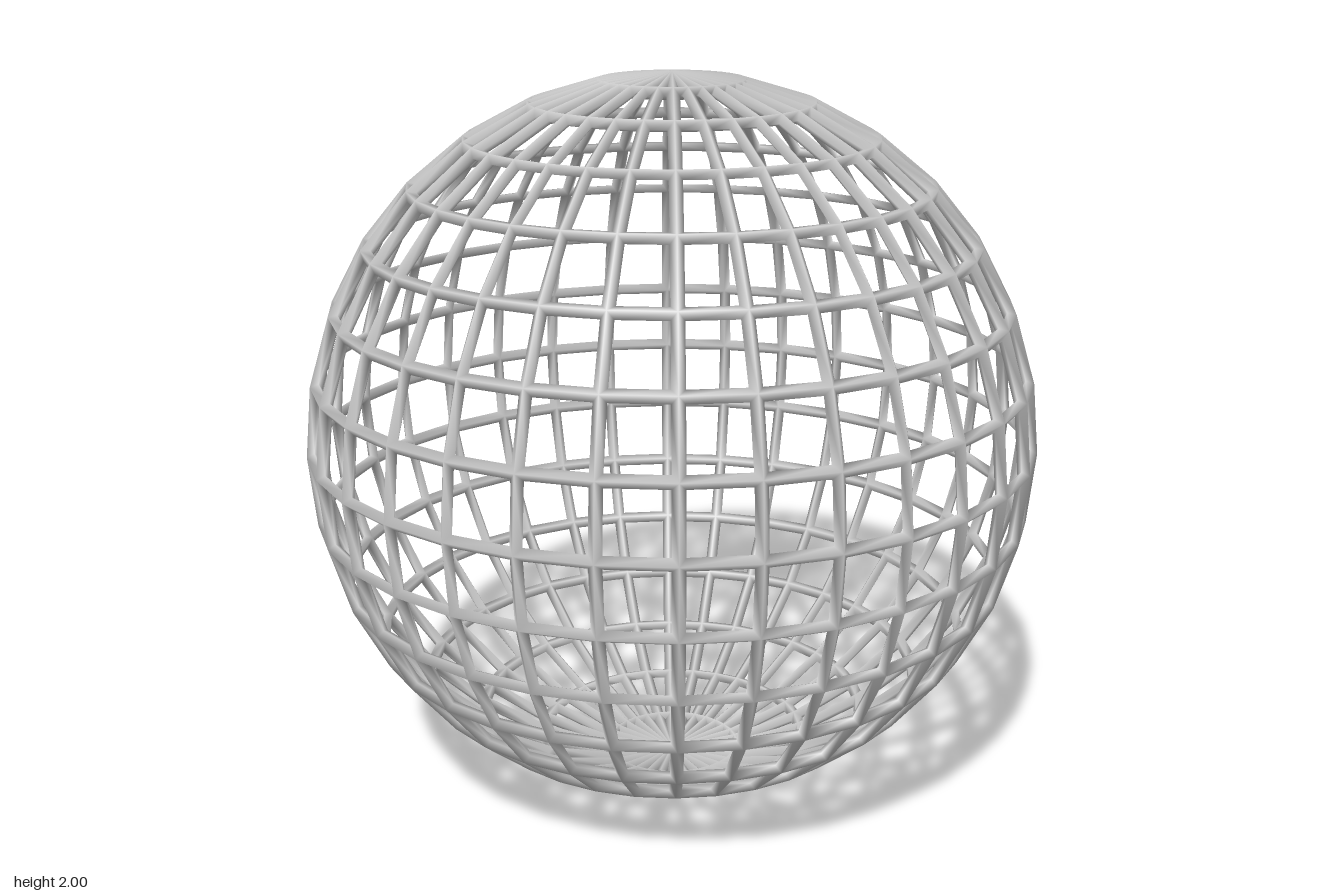
import * as THREE from 'three';

const SEGMENTS = 32, RINGS = 16;
const H = 0.017;      // half thickness of a bar
const R = 1 - H;      // radius of the bar centre lines

// Point on the sphere grid; ring 0 is the top pole
function gridPoint(ring, seg, radius) {
  return new THREE.Vector3().setFromSphericalCoords(
    radius, Math.PI * ring / RINGS, 2 * Math.PI * seg / SEGMENTS);
}

// Bars of diamond section along every edge of a latitude/longitude sphere
function latticeGeometry() {
  const positions = [], index = [];
  const add = p => positions.push(p.x, p.y, p.z) / 3 - 1;

  // Outer and inner ridge vertices, one pair per grid point
  const ridge = new Map();
  function ridgePair(ring, seg) {
    const s = ring === 0 || ring === RINGS ? 0 : seg % SEGMENTS;
    const key = ring * SEGMENTS + s;
    if (!ridge.has(key)) {
      ridge.set(key, {
        outer: add(gridPoint(ring, s, R + H)),
        inner: add(gridPoint(ring, s, R - H)),
      });
    }
    return ridge.get(key);
  }

  // Frame one opening: inset its corners and join them to the ridges
  function frame(corners) {
    const n = corners.length;
    const mid = corners.map(([r, s]) => gridPoint(r, s, R));
    const pairs = corners.map(([r, s]) => ridgePair(r, s));
    const inset = mid.map((p, k) => {
      const u = mid[(k + 1) % n].clone().sub(p).normalize();
      const v = mid[(k + n - 1) % n].clone().sub(p).normalize();
      const sine = u.clone().cross(v).length();
      return add(p.clone().addScaledVector(u.add(v), H / sine));
    });
    for (let k = 0; k < n; k++) {
      const m = (k + 1) % n;
      const a = pairs[k], b = pairs[m], i = inset[k], j = inset[m];
      index.push(a.outer, b.outer, j, a.outer, j, i);
      index.push(a.inner, j, b.inner, a.inner, i, j);
    }
  }

  for (let r = 0; r < RINGS; r++) {
    for (let s = 0; s < SEGMENTS; s++) {
      const corners = [[r, s], [r + 1, s], [r + 1, s + 1], [r, s + 1]];
      if (r === 0) corners.pop();                    // top pole triangles
      if (r === RINGS - 1) corners.splice(2, 1);     // bottom pole triangles
      frame(corners);
    }
  }

  const geometry = new THREE.BufferGeometry();
  geometry.setAttribute('position', new THREE.Float32BufferAttribute(positions, 3));
  geometry.setIndex(index);
  geometry.computeVertexNormals();
  return geometry;
}

export function createModel() {
  const model = new THREE.Group();
  model.name = 'latticeSphere';
  const cage = new THREE.Mesh(latticeGeometry(),
    new THREE.MeshStandardMaterial({ color: 0xcccccc }));
  cage.name = 'sphericalCage';
  cage.position.y = 1;
  model.add(cage);
  return model;
}
